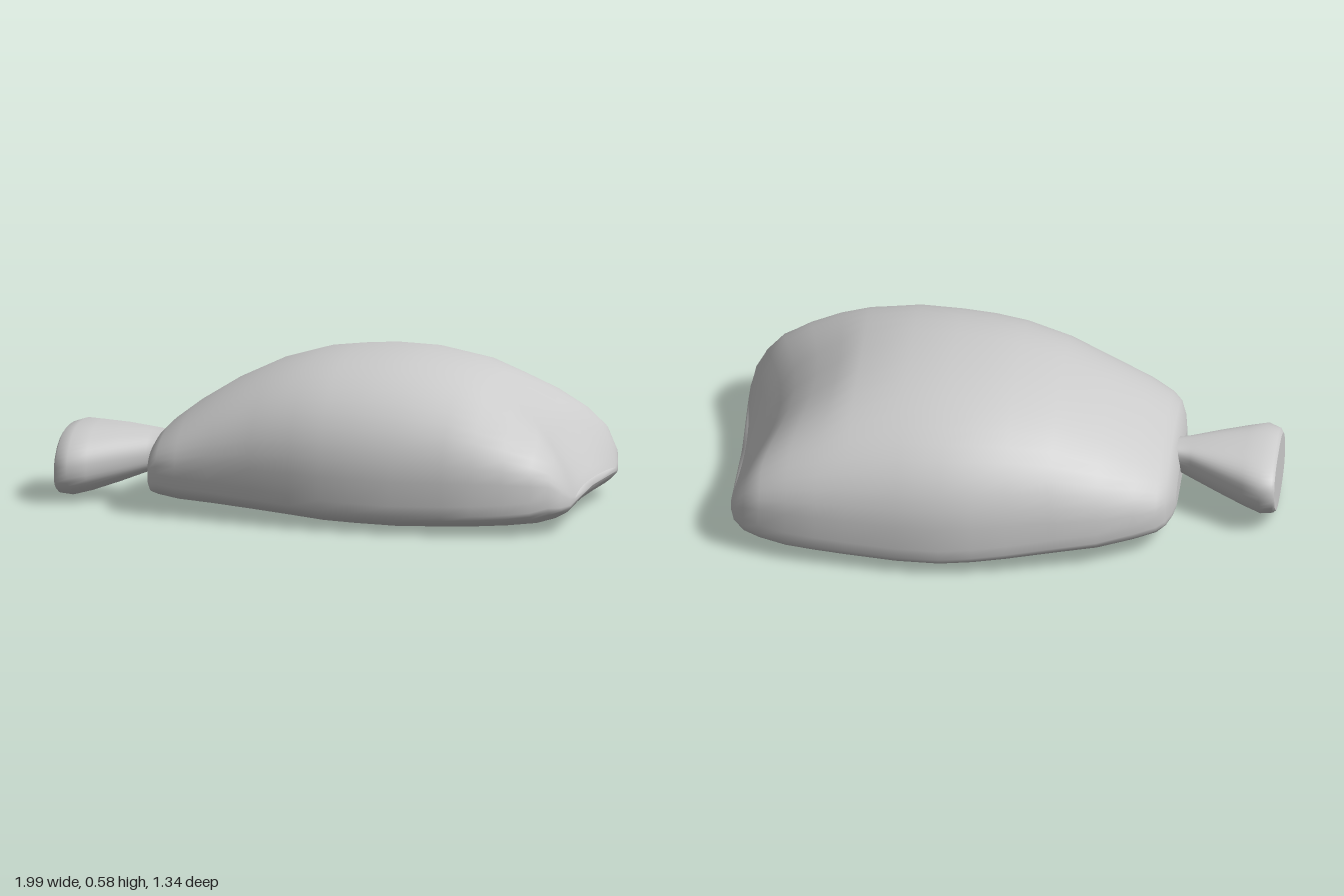
import * as THREE from 'three';

const SEGMENTS = 48;

// Superellipse coordinate: larger n gives a squarer section
const power = (v, n) => Math.sign(v) * Math.pow(Math.abs(v), 2 / n);

// Closed skin through rings along x; ringPoint(station, angle) returns [x, y, z]
function loft(name, stations, ringPoint, material) {
  const pos = [], index = [];
  const last = stations.length - 1;
  for (const s of stations) {
    for (let j = 0; j < SEGMENTS; j++) pos.push(...ringPoint(s, (j / SEGMENTS) * Math.PI * 2));
  }
  const id = (i, j) => i * SEGMENTS + (j % SEGMENTS);
  for (let i = 0; i < last; i++) {
    for (let j = 0; j < SEGMENTS; j++) {
      const a = id(i, j), b = id(i + 1, j), c = id(i + 1, j + 1), d = id(i, j + 1);
      index.push(a, b, c, a, c, d);
    }
  }
  // End caps, with their own vertices so the rims stay crisp
  for (const i of [0, last]) {
    const base = pos.length / 3;
    const centre = [0, 0, 0];
    for (let j = 0; j < SEGMENTS; j++) {
      for (let k = 0; k < 3; k++) {
        const v = pos[id(i, j) * 3 + k];
        pos.push(v);
        centre[k] += v / SEGMENTS;
      }
    }
    pos.push(...centre);
    for (let j = 0; j < SEGMENTS; j++) {
      const a = base + j, b = base + ((j + 1) % SEGMENTS);
      index.push(base + SEGMENTS, i ? b : a, i ? a : b);
    }
  }
  const geometry = new THREE.BufferGeometry();
  geometry.setAttribute('position', new THREE.Float32BufferAttribute(pos, 3));
  geometry.setIndex(index);
  geometry.computeVertexNormals();
  const mesh = new THREE.Mesh(geometry, material);
  mesh.name = name;
  return mesh;
}

export function createModel() {
  const group = new THREE.Group();
  group.name = 'tiedBag';
  const material = new THREE.MeshStandardMaterial({ color: 0xcccccc });

  // Bag body stations: x, back z, front z, bottom y, top y
  const body = [
    [-0.64, -0.27, 0.22, 0.09, 0.18],
    [-0.63, -0.33, 0.29, 0.07, 0.24],
    [-0.61, -0.39, 0.36, 0.057, 0.27],
    [-0.58, -0.44, 0.39, 0.05, 0.30],
    [-0.50, -0.485, 0.43, 0.04, 0.36],
    [-0.37, -0.55, 0.465, 0.033, 0.44],
    [-0.20, -0.595, 0.53, 0.025, 0.52],
    [-0.04, -0.635, 0.585, 0.015, 0.565],
    [0.08, -0.655, 0.62, 0.006, 0.578],
    [0.20, -0.67, 0.64, 0.002, 0.585],
    [0.36, -0.66, 0.665, 0.0, 0.58],
    [0.55, -0.635, 0.665, 0.004, 0.54],
    [0.66, -0.62, 0.66, 0.008, 0.49],
    [0.77, -0.60, 0.635, 0.012, 0.435],
    [0.87, -0.565, 0.605, 0.02, 0.37],
    [0.93, -0.54, 0.56, 0.033, 0.30],
    [0.97, -0.48, 0.52, 0.055, 0.22],
    [0.99, -0.41, 0.44, 0.075, 0.15],
    [0.998, -0.36, 0.36, 0.09, 0.12],
  ];
  group.add(loft('bagBody', body, ([x, zb, zf, yb, yt], a) => {
    const yc = yb + Math.min(0.105, (yt - yb) * 0.4);
    const s = Math.sin(a);
    // Flat underside, domed top
    const n = s < 0 ? 4 : 2.4 + 0.5 * THREE.MathUtils.smoothstep(x, 0.4, 0.9);
    const z = (zb + zf) / 2 + ((zf - zb) / 2) * power(Math.cos(a), n);
    const y = yc + (s < 0 ? yc - yb : yt - yc) * power(s, n);
    // Shallow valley in the wide end, between its two corners
    const valley = Math.max(0, 1 - (z / 0.48) ** 2) ** 1.5;
    const height = THREE.MathUtils.smoothstep(y, 0.1, 0.3);
    const dent = THREE.MathUtils.smoothstep(x, 0.45, 0.95) * valley * (0.03 + 0.06 * height);
    return [x - dent, y, z];
  }, material));

  // Gathered tail stations: x, back z, front z, bottom y, top y
  const tail = [
    [-1.0, -0.255, 0.2, 0.025, 0.24],
    [-0.99, -0.268, 0.218, 0.016, 0.255],
    [-0.945, -0.277, 0.235, 0.012, 0.27],
    [-0.88, -0.24, 0.2, 0.028, 0.268],
    [-0.78, -0.182, 0.14, 0.062, 0.263],
    [-0.68, -0.122, 0.08, 0.1, 0.252],
    [-0.635, -0.1, 0.06, 0.12, 0.245],
    [-0.55, -0.1, 0.06, 0.12, 0.245],
  ];
  group.add(loft('gatheredTail', tail, ([x, zb, zf, yb, yt], a) => {
    const u = power(Math.cos(a), 2.3);
    const z = (zb + zf) / 2 + ((zf - zb) / 2) * u;
    const y = (yb + yt) / 2 + ((yt - yb) / 2) * power(Math.sin(a), 2.3);
    // The back edge sits a little higher than the front edge
    return [x, y - 0.025 * u * Math.abs(u), z];
  }, material));

  return group;
}
